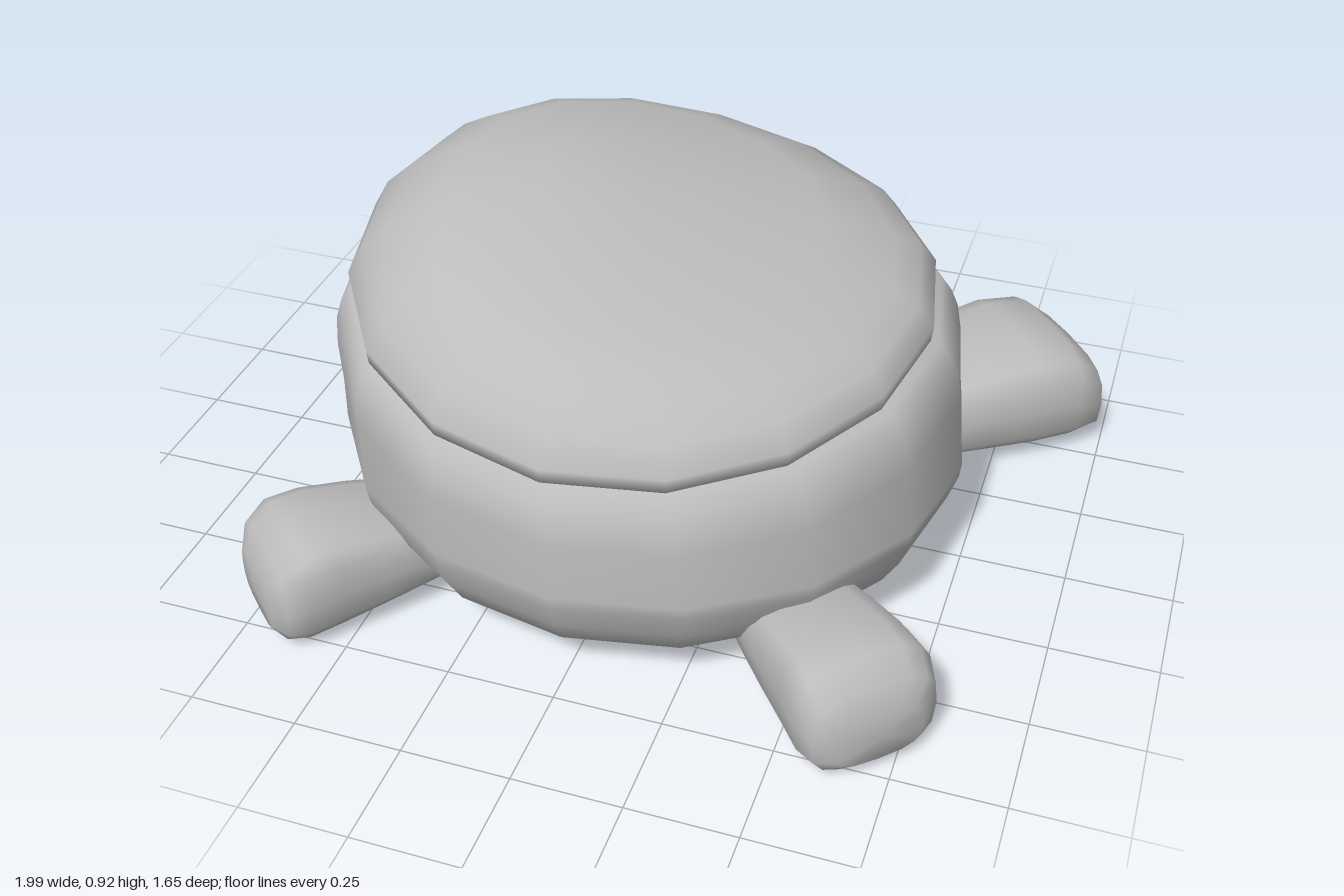
import * as THREE from 'three';
import { mergeVertices } from 'three/addons/utils/BufferGeometryUtils.js';
import { RoundedBoxGeometry } from 'three/addons/geometries/RoundedBoxGeometry.js';

const CENTRE_Z = 0.035;

// Weld duplicate vertices so the surface shades smoothly
function smooth(geometry) {
  geometry.deleteAttribute('uv');
  geometry.deleteAttribute('normal');
  const welded = mergeVertices(geometry, 1e-4);
  welded.computeVertexNormals();
  return welded;
}

// Lathe a [radius, y] profile, then shift each vertex by a rule
function turned(profile, rule) {
  const g = new THREE.LatheGeometry(profile.map(([r, y]) => new THREE.Vector2(r, y)), 16);
  const p = g.attributes.position;
  for (let i = 0; i < p.count; i++) {
    const v = new THREE.Vector3().fromBufferAttribute(p, i);
    rule(v);
    p.setXYZ(i, v.x, v.y, v.z + CENTRE_Z);
  }
  return smooth(g);
}

// Rim and dome sink towards the front
const sink = (z) => -0.07 * z - 0.12 * z * z;

// Loft of rounded-box sections along +z: [z, half width, low y, high y]
function limb(sections) {
  const sides = 16, pos = [], index = [];
  const soft = (c) => Math.sign(c) * Math.pow(Math.abs(c), 0.65);
  for (const [z, w, lo, hi] of sections) {
    for (let j = 0; j < sides; j++) {
      const a = (j / sides) * Math.PI * 2;
      pos.push(w * soft(Math.cos(a)), (lo + hi) / 2 + ((hi - lo) / 2) * soft(Math.sin(a)), z);
    }
  }
  for (let i = 0; i < sections.length - 1; i++) {
    for (let j = 0; j < sides; j++) {
      const a = i * sides + j, b = i * sides + (j + 1) % sides;
      index.push(a, b, b + sides, a, b + sides, a + sides);
    }
  }
  // Blunt end cap
  const last = (sections.length - 1) * sides;
  const [z, , lo, hi] = sections[sections.length - 1];
  pos.push(0, (lo + hi) / 2, z + 0.005);
  for (let j = 0; j < sides; j++) index.push(last + j, last + (j + 1) % sides, last + sides);
  const g = new THREE.BufferGeometry();
  g.setAttribute('position', new THREE.Float32BufferAttribute(pos, 3));
  g.setIndex(index);
  g.computeVertexNormals();
  return g;
}

export function createModel() {
  const group = new THREE.Group();
  const grey = new THREE.MeshStandardMaterial({ color: 0xbcbcbc });
  grey.name = 'plain grey';
  const add = (name, geometry) => {
    const mesh = new THREE.Mesh(geometry, grey);
    mesh.name = name;
    group.add(mesh);
    return mesh;
  };

  // Shallow belly and upright side wall; the rim tilts down at the front left
  add('body', turned(
    [[0, 0.015], [0.3, 0.03], [0.5, 0.047], [0.59, 0.07], [0.655, 0.125], [0.695, 0.195], [0.717, 0.262],
      [0.722, 0.3], [0.716, 0.4], [0.716, 0.5], [0.708, 0.57], [0.692, 0.615], [0.667, 0.65], [0.62, 0.655]],
    (v) => {
      const k = THREE.MathUtils.clamp((v.y - 0.28) / 0.33, 0, 1);
      v.y += k * (-0.05 * v.x + sink(v.z));
      v.x = v.x * 1.02 - 0.02 * k;
    }));

  // Domed back, highest on the right side
  add('shellDome', turned(
    [[0.63, 0.63], [0.668, 0.655], [0.672, 0.69], [0.635, 0.745], [0.575, 0.785],
      [0.5, 0.822], [0.425, 0.847], [0.23, 0.872], [0, 0.878]],
    (v) => {
      const r = Math.hypot(v.x, v.z) / 0.67;
      v.y += v.x * (-0.24 + 0.19 * r * r) + sink(v.z);
      v.x -= 0.03;
    }));

  // Legs splayed outwards in mirrored pairs
  const frontLeg = limb([
    [-0.12, 0.12, 0.05, 0.19], [0.02, 0.14, 0.035, 0.225], [0.12, 0.15, 0.02, 0.25], [0.23, 0.158, 0.005, 0.27],
    [0.31, 0.165, 0, 0.262], [0.36, 0.15, 0.01, 0.22], [0.385, 0.105, 0.035, 0.16]]);
  const backLeg = limb([
    [-0.12, 0.15, 0.05, 0.22], [0.06, 0.178, 0.035, 0.26], [0.2, 0.193, 0.025, 0.285], [0.34, 0.205, 0.015, 0.305],
    [0.45, 0.202, 0.012, 0.29], [0.52, 0.185, 0.02, 0.23], [0.545, 0.13, 0.045, 0.17]]);
  for (const [side, label] of [[1, 'left'], [-1, 'right']]) {
    const front = add(label + 'FrontLeg', frontLeg);
    front.position.set(side * 0.455, 0, 0.455);
    front.rotation.y = side * Math.atan2(0.69, 0.72);
    const back = add(label + 'BackLeg', backLeg);
    back.position.set(side * 0.475, 0, -0.355);
    back.rotation.y = side * Math.atan2(0.77, -0.64);

    // Small diamond studs low on the rear wall
    const stud = new THREE.Group();
    stud.name = label + 'Stud';
    stud.position.set(side * 0.205, 0.315, -0.645);
    stud.rotation.set(0.22, -side * 0.28, 0);
    const diamond = new THREE.Mesh(new RoundedBoxGeometry(0.145, 0.145, 0.06, 2, 0.028), grey);
    diamond.name = 'diamond';
    diamond.rotation.z = Math.PI / 4;
    stud.add(diamond);
    group.add(stud);
  }
  return group;
}
